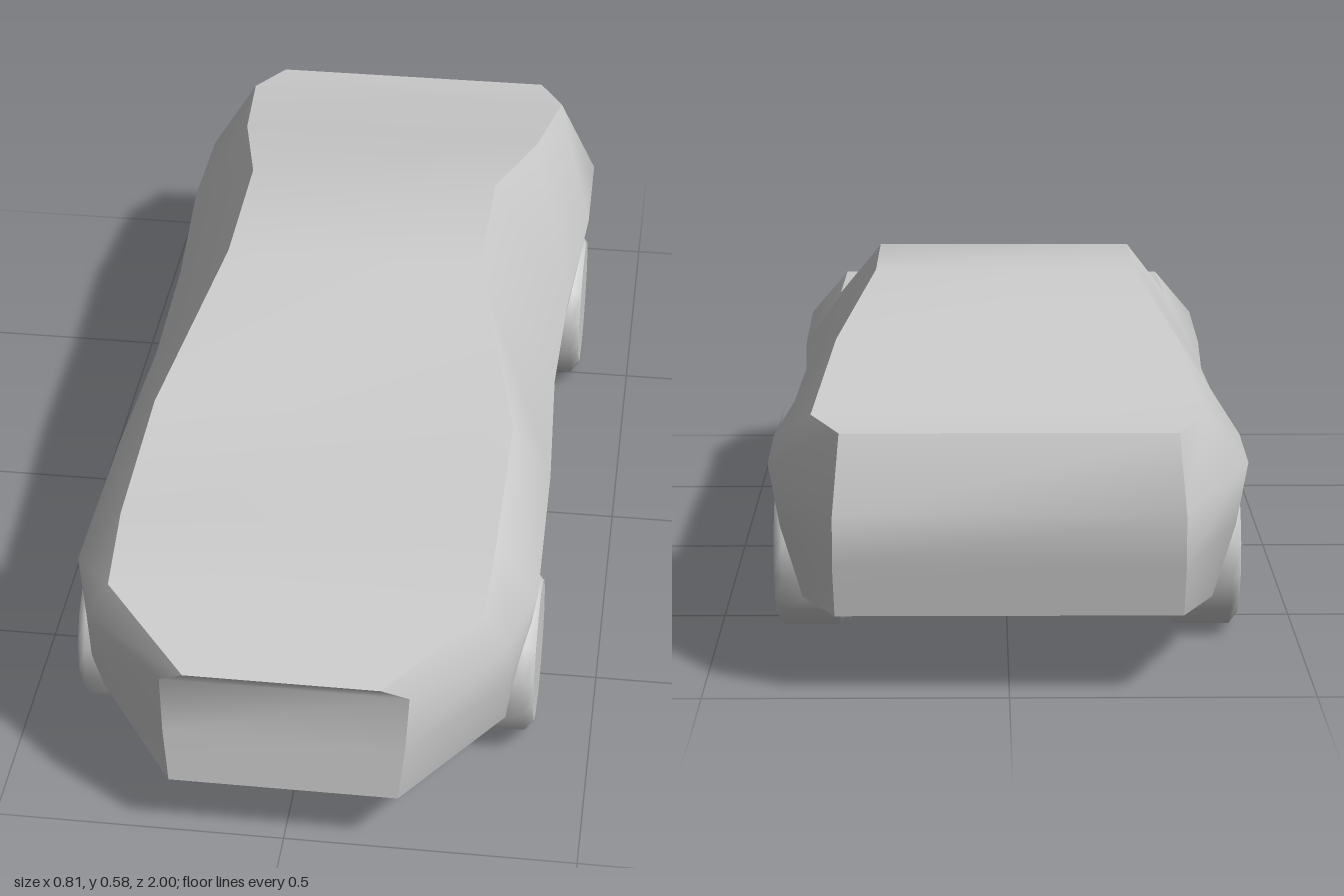
import * as THREE from 'three';

const grey = new THREE.MeshStandardMaterial({ color: 0xcccccc });

// Half cross-sections from nose to tail: sill, lower side, beltline, upper edge
const sections = [
  [[0.195, 0.107, 1], [0.205, 0.2, 0.985], [0.21, 0.3, 0.972], [0.165, 0.335, 1]],
  [[0.355, 0.095, 0.75], [0.362, 0.2, 0.8], [0.36, 0.31, 0.83], [0.32, 0.38, 0.83]],
  [[0.355, 0.09, 0.68], [0.385, 0.22, 0.68], [0.4, 0.33, 0.7], [0.325, 0.42, 0.68]],
  [[0.35, 0.075, 0.35], [0.375, 0.22, 0.35], [0.395, 0.33, 0.35], [0.325, 0.432, 0.35]],
  [[0.34, 0.09, 0.05], [0.365, 0.22, 0.05], [0.38, 0.335, 0.05], [0.235, 0.577, 0.05]],
  [[0.34, 0.09, -0.25], [0.368, 0.22, -0.25], [0.385, 0.335, -0.25], [0.235, 0.577, -0.25]],
  [[0.35, 0.09, -0.5], [0.385, 0.22, -0.53], [0.405, 0.335, -0.55], [0.295, 0.505, -0.55]],
  [[0.35, 0.085, -0.7], [0.385, 0.22, -0.74], [0.402, 0.335, -0.77], [0.325, 0.435, -0.85]],
  [[0.283, 0.13, -0.985], [0.286, 0.215, -0.993], [0.285, 0.3, -1], [0.275, 0.425, -0.95]],
];

const mirror = (line) => line.map(([x, y, z]) => [-x, y, z]);

// Smooth panel through lines of points: lines run left to right, points bottom to top, seen from outside
function panel(name, lines) {
  const rows = lines[0].length;
  const index = [];
  for (let i = 0; i < lines.length - 1; i++) {
    for (let j = 0; j < rows - 1; j++) {
      const a = i * rows + j, b = a + rows;
      index.push(a, b, b + 1, a, b + 1, a + 1);
    }
  }
  const geometry = new THREE.BufferGeometry();
  geometry.setAttribute('position', new THREE.Float32BufferAttribute(lines.flat(2), 3));
  geometry.setIndex(index);
  geometry.computeVertexNormals();
  const mesh = new THREE.Mesh(geometry, grey);
  mesh.name = name;
  return mesh;
}

function createBody() {
  const body = new THREE.Group();
  body.name = 'body';
  const upper = sections.map((s) => s[3]);
  const sill = sections.map((s) => s[0]);
  const nose = sections[0];
  const tail = sections[sections.length - 1];
  body.add(
    panel('leftSide', sections),
    panel('rightSide', sections.map(mirror).reverse()),
    panel('bonnetRoofAndBoot', [mirror(upper), upper]),
    panel('floor', [sill, mirror(sill)]),
    panel('frontFace', [mirror(nose), nose]),
    panel('rearFace', [tail, mirror(tail)]),
  );
  return body;
}

// Solid wheel with bevelled shoulders and flat discs, outer face towards +x
function createWheel(name, side, z) {
  const wheel = new THREE.Group();
  wheel.name = name;
  const profile = [[0.125, -0.0625], [0.145, -0.047], [0.145, 0.047], [0.125, 0.0625]];
  const tyre = new THREE.LatheGeometry(profile.map(([r, y]) => new THREE.Vector2(r, y)), 14);
  tyre.rotateZ(-Math.PI / 2);
  const tread = new THREE.Mesh(tyre, grey);
  tread.name = 'tyre';
  wheel.add(tread);
  for (const s of [1, -1]) {
    // Same corner positions as the tyre rim
    const disc = new THREE.CircleGeometry(0.125, 14);
    disc.rotateZ(Math.PI / 2);
    disc.rotateY(s * Math.PI / 2);
    disc.translate(s * 0.0625, 0, 0);
    const cap = new THREE.Mesh(disc, grey);
    cap.name = s > 0 ? 'leftDisc' : 'rightDisc';
    wheel.add(cap);
  }
  wheel.rotation.x = Math.PI / 14;
  wheel.position.set(side * 0.3385, 0.1414, z);
  return wheel;
}

export function createModel() {
  const car = new THREE.Group();
  car.name = 'car';
  car.add(createBody());
  for (const [label, side] of [['Left', 1], ['Right', -1]]) {
    car.add(createWheel(`front${label}Wheel`, side, 0.615));
    car.add(createWheel(`rear${label}Wheel`, side, -0.545));
  }
  return car;
}
